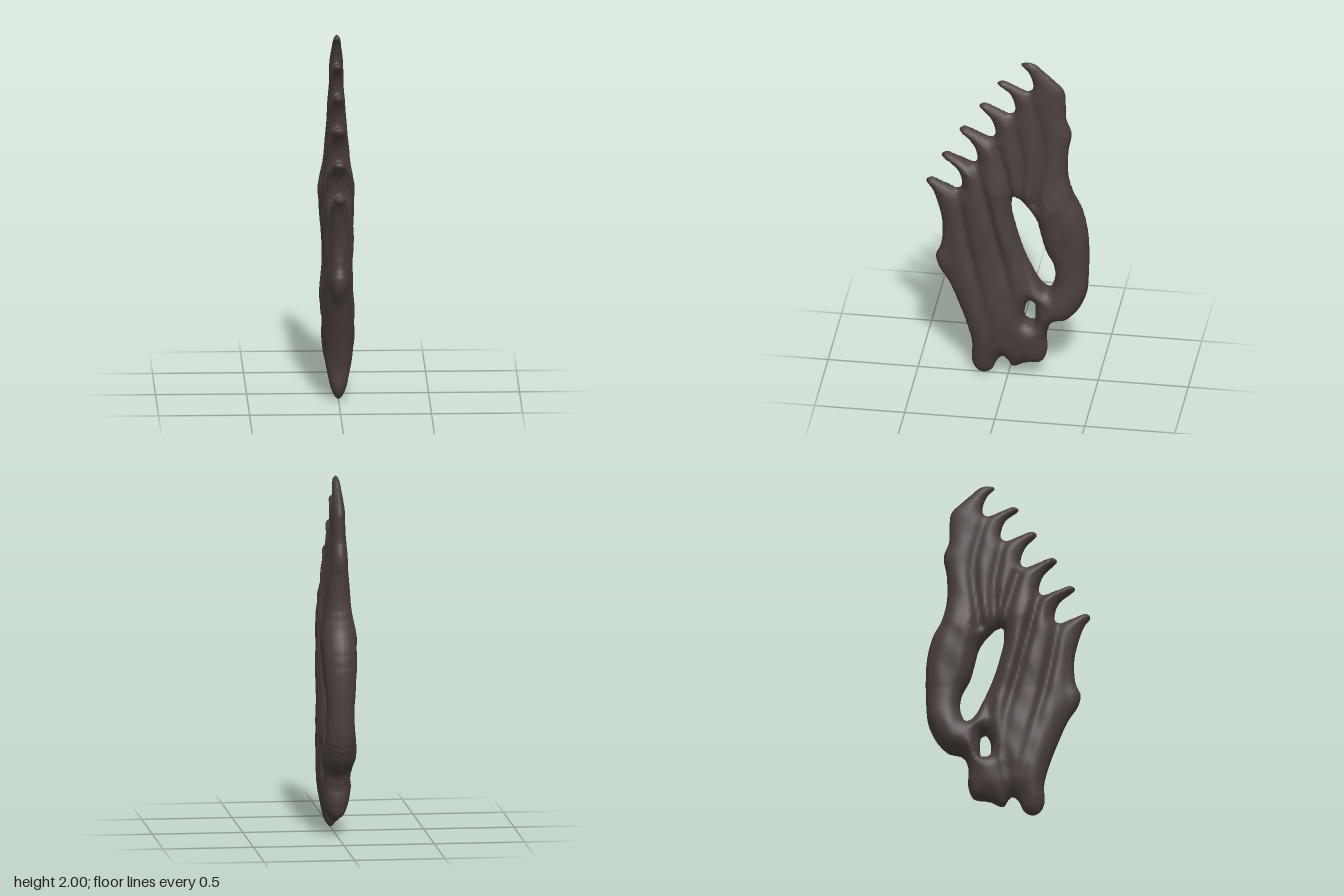
import * as THREE from 'three';

// Smooth closed loop through [z, y] points
function loop(points, samples) {
  const pts = points.map(([z, y]) => new THREE.Vector3(z, y, 0));
  return new THREE.CatmullRomCurve3(pts, true).getPoints(samples);
}

// Nearest point on a polyline, as { d, z, y }
function nearest(line, z, y) {
  let best = { d: Infinity, z, y };
  for (let i = 0; i < line.length - 1; i++) {
    const a = line[i], b = line[i + 1];
    const ez = b.x - a.x, ey = b.y - a.y;
    const len2 = ez * ez + ey * ey || 1e-12;
    const t = THREE.MathUtils.clamp(((z - a.x) * ez + (y - a.y) * ey) / len2, 0, 1);
    const pz = a.x + ez * t, py = a.y + ey * t;
    const d = Math.hypot(z - pz, y - py);
    if (d < best.d) best = { d, z: pz, y: py };
  }
  return best;
}

function contains(line, z, y) {
  let inside = false;
  for (let i = 0; i < line.length - 1; i++) {
    const a = line[i], b = line[i + 1];
    if ((a.y > y) !== (b.y > y) && z < a.x + ((y - a.y) / (b.y - a.y)) * (b.x - a.x)) inside = !inside;
  }
  return inside;
}

// Linear interpolation in a rising table of [key, value]
function lookup(table, k) {
  if (k <= table[0][0]) return table[0][1];
  for (let i = 1; i < table.length; i++) {
    const [k0, v0] = table[i - 1], [k1, v1] = table[i];
    if (k <= k1) return v0 + ((v1 - v0) * (k - k0)) / (k1 - k0);
  }
  return table[table.length - 1][1];
}

// Back edge, ragged base and front edge, going round from the top
const edge = [
  [-0.117, 1.998], [-0.16, 1.983], [-0.19, 1.955], [-0.25, 1.9], [-0.31, 1.835], [-0.32, 1.74],
  [-0.322, 1.66], [-0.352, 1.57], [-0.335, 1.45], [-0.335, 1.3], [-0.365, 1.18], [-0.41, 1.09],
  [-0.445, 0.94], [-0.447, 0.65], [-0.435, 0.55], [-0.385, 0.44], [-0.33, 0.385], [-0.25, 0.36],
  [-0.217, 0.29], [-0.217, 0.175], [-0.185, 0.1], [-0.1, 0.085], [-0.025, 0.053], [0, 0.09],
  [0.026, 0.117], [0.058, 0.09], [0.095, 0.02], [0.14, 0.002], [0.175, 0.02], [0.2, 0.07],
  [0.2, 0.19], [0.23, 0.31], [0.28, 0.45], [0.33, 0.57], [0.385, 0.66], [0.4, 0.73],
  [0.372, 0.8], [0.365, 0.94], [0.39, 1.06], [0.42, 1.145],
];

// Hooked spikes up the front: each blunt tip is followed by the same notch
const tips = [[0.455, 1.2], [0.37, 1.37], [0.27, 1.54], [0.16, 1.7], [0.06, 1.85], [-0.07, 1.985]];
const notch = [[-0.026, 0.022], [-0.1, -0.006], [-0.172, -0.034], [-0.198, -0.016], [-0.195, 0.032], [-0.17, 0.09]];
const comb = tips.flatMap(([z, y], i) =>
  i < tips.length - 1 ? [[z, y], ...notch.map(([dz, dy]) => [z + dz, y + dy])] : [[z, y]]);

const outline = loop([...edge, ...comb], 420);
const holes = [
  loop([[-0.03, 1.14], [-0.02, 1.07], [-0.042, 0.96], [-0.08, 0.83], [-0.138, 0.69], [-0.19, 0.594],
    [-0.228, 0.572], [-0.26, 0.636], [-0.254, 0.72], [-0.207, 0.82], [-0.18, 0.92], [-0.16, 1.0],
    [-0.117, 1.076], [-0.07, 1.123]], 100),
  loop([[-0.122, 0.488], [-0.095, 0.44], [-0.1, 0.366], [-0.143, 0.355], [-0.153, 0.41], [-0.143, 0.482]], 40),
];

// Creases between the fused strands, running from the notches to the base
const creases = [
  [[-0.127, 1.79], [-0.19, 1.5], [-0.154, 1.13]],
  [[-0.03, 1.64], [-0.074, 1.39], [-0.074, 1.13]],
  [[0.053, 1.45], [-0.02, 1.18], [-0.1, 0.76], [-0.1, 0.44], [-0.02, 0.1]],
  [[0.175, 1.34], [0.074, 0.92], [-0.02, 0.49], [0.016, 0.12]],
  [[0.286, 1.2], [0.217, 0.81], [0.11, 0.39], [0.058, 0.12]],
].map((pts) => new THREE.CatmullRomCurve3(pts.map(([z, y]) => new THREE.Vector3(z, y, 0))).getPoints(16));

// Half thickness limits by height and by depth
const byHeight = [[0, 0.03], [0.1, 0.054], [0.2, 0.073], [0.3, 0.087], [0.4, 0.093], [0.6, 0.083],
  [0.75, 0.075], [0.9, 0.086], [1.1, 0.102], [1.3, 0.071], [1.5, 0.053], [1.7, 0.04], [1.9, 0.035], [2, 0.026]];
const byDepth = [[-0.45, 0.085], [-0.36, 0.088], [-0.26, 0.103], [-0.17, 0.085], [-0.1, 0.095], [0, 0.093],
  [0.1, 0.088], [0.25, 0.067], [0.33, 0.05], [0.45, 0.045]];

function halfThickness(z, y, d) {
  const t = Math.min(lookup(byHeight, y), lookup(byDepth, z));
  const s = 1 - Math.min(d / 0.1, 1);
  const rounded = Math.sqrt(1 - s * s);
  const gap = Math.min(...creases.map((c) => nearest(c, z, y).d));
  // Creases are deep between the upper strands and fade where these fuse
  const depth = 0.1 + 0.28 * THREE.MathUtils.smoothstep(y, 0.4, 0.9);
  const groove = 1 - depth * Math.exp(-((gap / 0.03) ** 2));
  const ripple = 1 + 0.04 * Math.sin(z * 38 + y * 9) * Math.sin(y * 17 - z * 8);
  return t * rounded * groove * ripple;
}

// Two swollen skins over a fine grid, joined where the grid meets the rims
function bladeGeometry() {
  const cell = 0.0125, cols = 76, rows = 164, z0 = -0.475, y0 = -0.02;
  const rims = [outline, ...holes];
  const positions = [], indices = [], grid = [];
  const add = (x, y, z) => positions.push(x, y, z) / 3 - 1;

  for (let j = 0; j <= rows; j++) {
    for (let i = 0; i <= cols; i++) {
      const z = z0 + i * cell, y = y0 + j * cell;
      const near = rims.map((r) => nearest(r, z, y)).reduce((a, b) => (a.d < b.d ? a : b));
      const solid = contains(outline, z, y) && !holes.some((h) => contains(h, z, y)) && near.d > cell * 0.35;
      if (solid) {
        const h = halfThickness(z, y, near.d);
        grid.push({ solid, left: add(h, y, z), right: add(-h, y, z) });
      } else {
        const rim = near.d < cell * 2 ? add(0, near.y, near.z) : -1;
        grid.push({ solid, left: rim, right: rim });
      }
    }
  }
  for (let j = 0; j < rows; j++) {
    for (let i = 0; i < cols; i++) {
      const k = j * (cols + 1) + i;
      const [a, b, c, d] = [grid[k], grid[k + 1], grid[k + cols + 2], grid[k + cols + 1]];
      if (![a, b, c, d].some((v) => v.solid)) continue;
      indices.push(a.left, d.left, c.left, a.left, c.left, b.left);
      indices.push(a.right, c.right, d.right, a.right, b.right, c.right);
    }
  }
  const geometry = new THREE.BufferGeometry();
  geometry.setAttribute('position', new THREE.Float32BufferAttribute(positions, 3));
  geometry.setIndex(indices);
  geometry.computeVertexNormals();
  return geometry;
}

export function createModel() {
  const darkBrown = new THREE.MeshStandardMaterial({ color: 0x4a3f3d });
  darkBrown.name = 'darkBrown';
  const blade = new THREE.Mesh(bladeGeometry(), darkBrown);
  blade.name = 'spikedBlade';
  const model = new THREE.Group();
  model.name = 'spikedFin';
  model.add(blade);
  return model;
}
